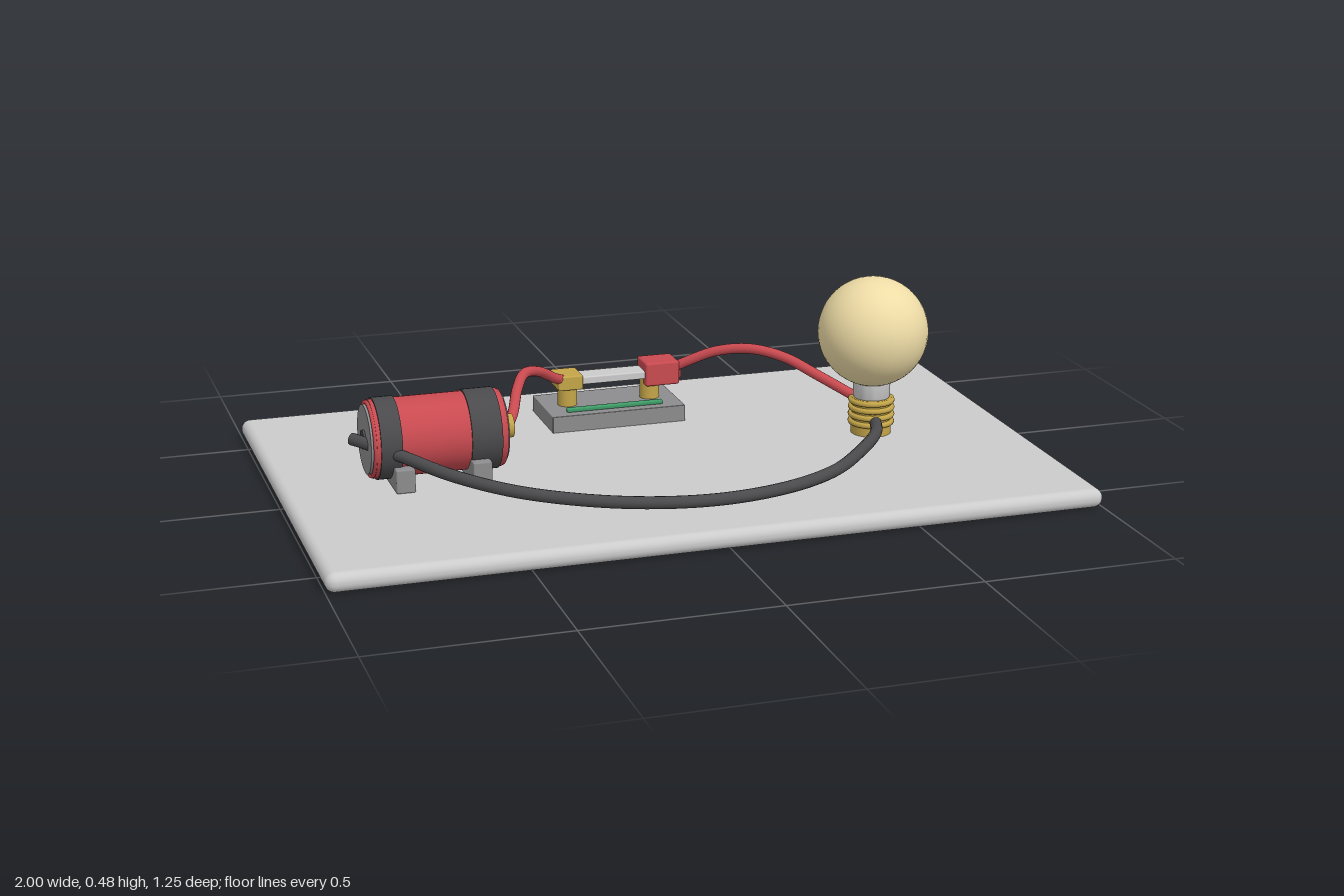
import * as THREE from 'three';
import { RoundedBoxGeometry } from 'three/addons/geometries/RoundedBoxGeometry.js';
import { toCreasedNormals } from 'three/addons/utils/BufferGeometryUtils.js';

const material = (color) => new THREE.MeshStandardMaterial({ color });
const grey = material(0xcccccc);
const steel = material(0x8c8c8e);
const dark = material(0x4a4a4c);
const red = material(0xc84a50);
const gold = material(0xc4a548);
const green = material(0x3f9c68);
const glass = material(0xeedca6);

export function createModel() {
  const model = new THREE.Group();

  function add(parent, name, geometry, mat, x = 0, y = 0, z = 0) {
    const mesh = new THREE.Mesh(geometry, mat);
    mesh.name = name;
    mesh.position.set(x, y, z);
    parent.add(mesh);
    return mesh;
  }
  function group(name, x = 0, y = 0, z = 0) {
    const g = new THREE.Group();
    g.name = name;
    g.position.set(x, y, z);
    model.add(g);
    return g;
  }
  const box = (w, h, d, r = 0.004) => new RoundedBoxGeometry(w, h, d, 2, r);
  const lathe = (points, sides = 40) => toCreasedNormals(
    new THREE.LatheGeometry(points.map(([r, y]) => new THREE.Vector2(r, y)), sides), 0.6);
  // Closed cylinder lying along x, from x0 to x1
  function drum(parent, name, r, x0, x1, mat) {
    const g = new THREE.CylinderGeometry(r, r, x1 - x0, 40);
    g.rotateZ(-Math.PI / 2);
    add(parent, name, g, mat, (x0 + x1) / 2);
  }
  // Round wire with closed ends
  function wire(name, points, r, mat) {
    const path = points.map((p) => new THREE.Vector3(...p));
    const curve = new THREE.CatmullRomCurve3(path, false, 'centripetal');
    const g = group(name);
    add(g, name + 'Run', new THREE.TubeGeometry(curve, 80, r, 14), mat);
    [0, 1].forEach((t) => {
      const cap = add(g, name + 'End', new THREE.CircleGeometry(r, 14), mat);
      cap.position.copy(curve.getPoint(t));
      const dir = curve.getTangent(t).multiplyScalar(t ? 1 : -1);
      cap.quaternion.setFromUnitVectors(new THREE.Vector3(0, 0, 1), dir);
    });
  }

  // Board
  add(model, 'board', new RoundedBoxGeometry(2, 0.05, 1.25, 4, 0.024), grey, 0, 0.025, 0);

  // Battery on two feet
  const battery = group('battery', 0, 0.165, 0);
  drum(battery, 'batteryBody', 0.102, -0.765, -0.43, red);
  drum(battery, 'rearCap', 0.09, -0.778, -0.76, steel);
  drum(battery, 'frontCap', 0.09, -0.435, -0.418, steel);
  drum(battery, 'rearBand', 0.106, -0.755, -0.7, dark);
  drum(battery, 'frontBand', 0.106, -0.52, -0.44, dark);
  drum(battery, 'positiveTerminal', 0.031, -0.42, -0.39, gold);
  drum(battery, 'negativeTerminal', 0.025, -0.784, -0.775, dark);
  [-0.775, -0.422].forEach((x) => {
    const rim = new THREE.TorusGeometry(0.095, 0.006, 8, 40);
    rim.rotateY(Math.PI / 2);
    add(battery, 'batteryRim', rim, red, x < -0.6 ? x + 0.008 : x - 0.006);
  });
  [-0.697, -0.497].forEach((x) => add(model, 'batteryFoot', box(0.05, 0.063, 0.235), steel, x, 0.081, 0));

  // Bulb with threaded base
  const bulb = group('bulb', 0.61, 0, 0);
  add(bulb, 'bulbGlass', new THREE.SphereGeometry(0.148, 40, 28), glass, 0, 0.332, 0);
  add(bulb, 'bulbNeck', lathe([[0, 0.145], [0.045, 0.145], [0.05, 0.155], [0.05, 0.21], [0, 0.21]]), grey);
  add(bulb, 'bulbBase', lathe([[0, 0.05], [0.054, 0.05], [0.054, 0.15], [0, 0.15]]), gold);
  for (let i = 0; i < 4; i++) {
    const thread = new THREE.TorusGeometry(0.055, 0.008, 8, 40);
    thread.rotateX(Math.PI / 2);
    add(bulb, 'screwThread', thread, gold, 0, 0.082 + i * 0.02, 0);
  }

  // Knife switch
  const sw = group('knifeSwitch', 0, 0, -0.345);
  add(sw, 'switchBase', box(0.375, 0.047, 0.21, 0.002), steel, -0.027, 0.0715, 0);
  [-0.145, 0.09].forEach((x) =>
    add(sw, 'contactPost', new THREE.CylinderGeometry(0.027, 0.027, 0.065, 24), gold, x, 0.125, 0));
  add(sw, 'hingeBlock', box(0.07, 0.04, 0.085), gold, -0.145, 0.165, -0.003);
  add(sw, 'switchBlade', box(0.2, 0.022, 0.065), grey, -0.02, 0.166, -0.003);
  add(sw, 'switchHandle', box(0.097, 0.066, 0.085, 0.006), red, 0.117, 0.168, -0.003);
  add(sw, 'handleTip', box(0.02, 0.04, 0.055), red, 0.166, 0.168, -0.003);
  add(sw, 'indicatorStrip', box(0.272, 0.012, 0.016), green, -0.03, 0.1, 0.069);

  // Wires
  wire('batteryToSwitchWire', [[-0.4, 0.165, 0], [-0.375, 0.185, -0.045], [-0.345, 0.225, -0.115],
    [-0.305, 0.242, -0.19], [-0.25, 0.225, -0.25], [-0.19, 0.185, -0.305], [-0.15, 0.165, -0.335]], 0.014, red);
  wire('switchToBulbWire', [[0.14, 0.17, -0.335], [0.19, 0.198, -0.31], [0.26, 0.23, -0.275],
    [0.34, 0.243, -0.228], [0.42, 0.228, -0.17], [0.5, 0.185, -0.105], [0.58, 0.14, -0.03]], 0.014, red);
  wire('returnWire', [[-0.81, 0.168, -0.005], [-0.78, 0.163, 0.025], [-0.7, 0.145, 0.11], [-0.6, 0.125, 0.235],
    [-0.45, 0.105, 0.355], [-0.22, 0.09, 0.455], [0, 0.086, 0.492], [0.2, 0.086, 0.46],
    [0.35, 0.09, 0.39], [0.47, 0.092, 0.27], [0.57, 0.093, 0.135], [0.61, 0.093, 0.03]], 0.016, dark);

  return model;
}
